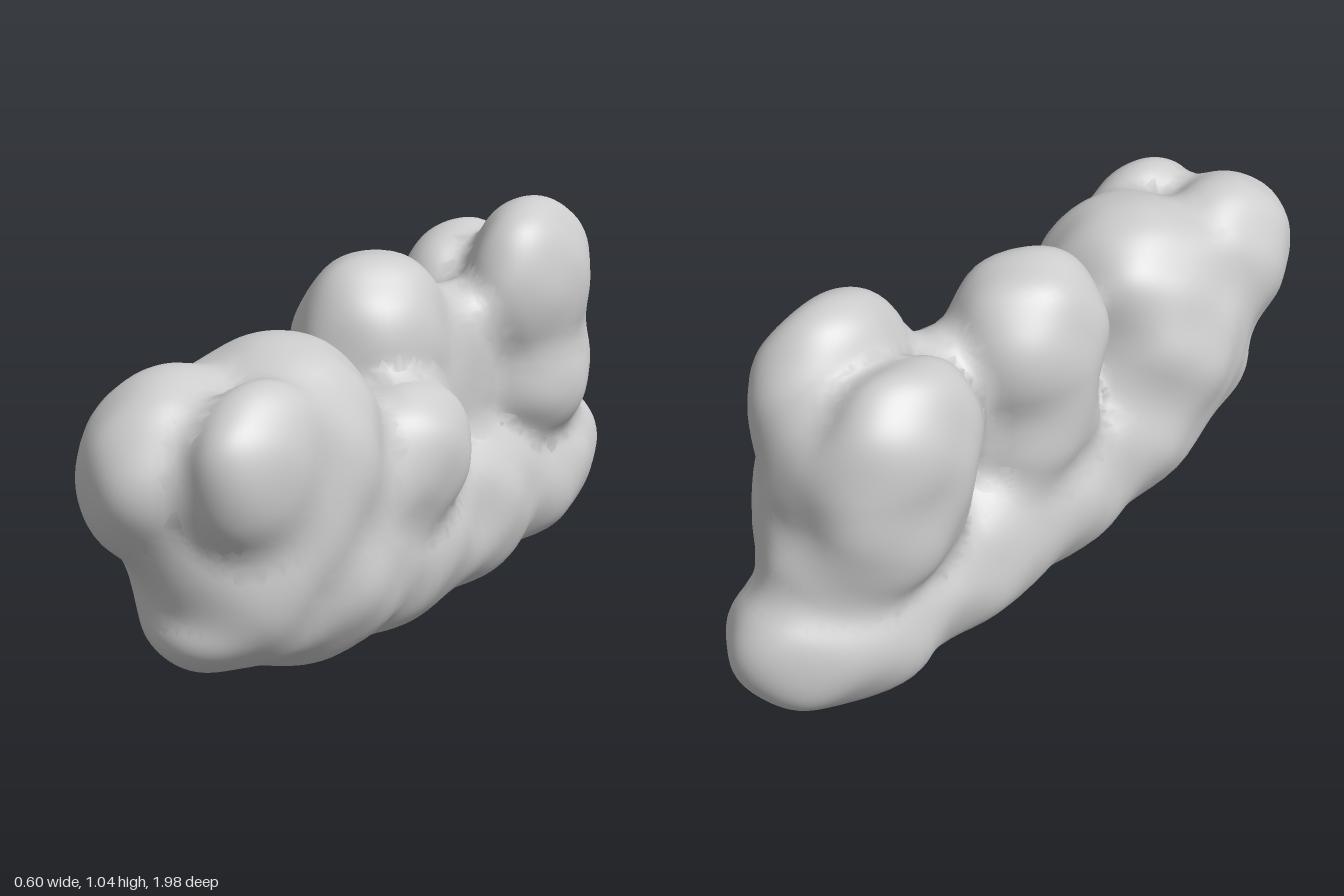
import * as THREE from 'three';

// Rounded lobes: name, centre x y z, radii x y z
const LOBES = [
  // long keel-like base, from back to front
  ['tailTip', 0, 0.28, -0.81, 0.16, 0.17, 0.175],
  ['baseRear', 0, 0.25, -0.62, 0.225, 0.215, 0.30],
  ['baseMiddleRear', 0, 0.25, -0.28, 0.24, 0.235, 0.32],
  ['baseMiddle', 0, 0.26, 0.05, 0.245, 0.245, 0.34],
  ['baseRidge', 0.01, 0.36, -0.24, 0.20, 0.15, 0.36],
  ['baseFront', 0, 0.32, 0.36, 0.27, 0.265, 0.34],
  ['chin', 0, 0.37, 0.62, 0.235, 0.24, 0.24],
  ['noseBump', 0.01, 0.27, 0.78, 0.11, 0.075, 0.10],
  // front mass
  ['cheeks', 0, 0.46, 0.64, 0.225, 0.20, 0.235],
  ['frontBody', -0.05, 0.51, 0.48, 0.25, 0.29, 0.28],
  ['frontBodyLeft', 0.07, 0.56, 0.47, 0.20, 0.28, 0.25],
  ['frontLobeRight', -0.085, 0.64, 0.74, 0.18, 0.235, 0.25],
  ['frontLobeLeft', 0.135, 0.67, 0.70, 0.125, 0.20, 0.205],
  ['frontCrown', 0.0, 0.70, 0.45, 0.22, 0.195, 0.23],
  // middle mass
  ['middleLobe', -0.05, 0.74, -0.03, 0.19, 0.25, 0.235],
  ['middleLobeLower', -0.04, 0.53, -0.04, 0.195, 0.20, 0.21],
  ['sideBump', 0.15, 0.53, 0.13, 0.15, 0.19, 0.21],
  // web joining middle and rear
  ['rearWeb', 0.02, 0.64, -0.28, 0.13, 0.22, 0.14],
  // rear mass
  ['rearLobeLeft', 0.11, 0.82, -0.54, 0.145, 0.23, 0.235],
  ['rearLobeRight', -0.11, 0.73, -0.54, 0.145, 0.23, 0.235],
  ['rearCore', 0, 0.65, -0.59, 0.21, 0.23, 0.225],
  ['rearLowerLeft', 0.10, 0.54, -0.57, 0.15, 0.16, 0.22],
  ['rearLowerRight', -0.09, 0.54, -0.57, 0.15, 0.18, 0.23],
  ['rearHip', 0, 0.46, -0.67, 0.17, 0.16, 0.19],
];

// Approximate signed distance to an ellipsoid
function lobeDistance([, cx, cy, cz, rx, ry, rz], x, y, z) {
  const a = (x - cx) / rx, b = (y - cy) / ry, c = (z - cz) / rz;
  const k0 = Math.hypot(a, b, c);
  const k1 = Math.hypot(a / rx, b / ry, c / rz) || 1;
  return k0 * (k0 - 1) / k1;
}

// Softly blended union of all lobes with a gentle lumpy surface
function field(x, y, z) {
  const k = 0.065;
  let d = 10;
  for (const lobe of LOBES) {
    const e = lobeDistance(lobe, x, y, z);
    const h = Math.max(k - Math.abs(d - e), 0) / k;
    d = Math.min(d, e) - h * h * k * 0.25;
  }
  const lumps = Math.sin(23 * x + 5 * z) * Math.sin(19 * y + 2) * Math.sin(21 * z + 6 * x);
  return d + 0.008 * lumps;
}

// A sphere whose points are pushed out along their rays to the blended surface
function lobeGeometry(lobe) {
  const [, cx, cy, cz, rx, ry, rz] = lobe;
  const geometry = new THREE.SphereGeometry(1, 48, 36);
  const pos = geometry.attributes.position, nor = geometry.attributes.normal;
  const n = new THREE.Vector3(), ray = new THREE.Vector3(), e = 0.012;
  for (let i = 0; i < pos.count; i++) {
    ray.set(pos.getX(i) * rx, pos.getY(i) * ry, pos.getZ(i) * rz);
    const radius = ray.length();
    ray.divideScalar(radius);
    let t = radius * 0.9;
    for (let s = 0; s < 20; s++) {
      const d = field(cx + ray.x * t, cy + ray.y * t, cz + ray.z * t);
      t = Math.min(t - d * 0.9, radius + 0.08);
    }
    const x = cx + ray.x * t, y = cy + ray.y * t, z = cz + ray.z * t;
    pos.setXYZ(i, x, y, z);
    n.set(
      field(x + e, y, z) - field(x - e, y, z),
      field(x, y + e, z) - field(x, y - e, z),
      field(x, y, z + e) - field(x, y, z - e)
    ).normalize();
    nor.setXYZ(i, n.x, n.y, n.z);
  }
  return geometry;
}

export function createModel() {
  const group = new THREE.Group();
  group.name = 'lumpyMass';
  const grey = new THREE.MeshStandardMaterial({ color: 0xcccccc });
  grey.name = 'paleGrey';
  for (const lobe of LOBES) {
    const mesh = new THREE.Mesh(lobeGeometry(lobe), grey);
    mesh.name = lobe[0];
    group.add(mesh);
  }
  return group;
}
